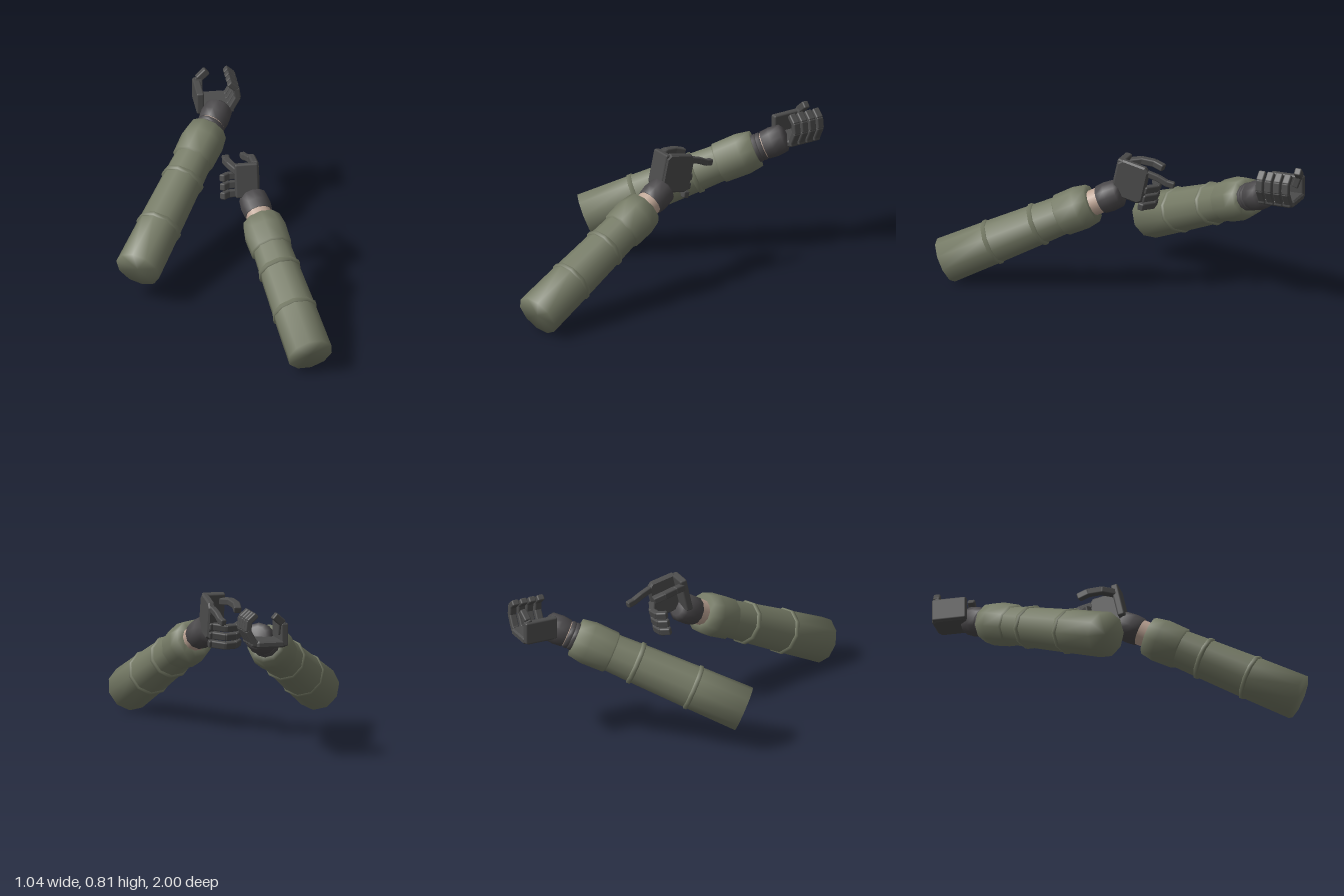
import * as THREE from 'three';
import { RoundedBoxGeometry } from 'three/addons/geometries/RoundedBoxGeometry.js';

const material = (name, color) => {
  const m = new THREE.MeshStandardMaterial({ color });
  m.name = name;
  return m;
};
const V = (x, y, z) => new THREE.Vector3(x, y, z);

export function createModel() {
  const olive = material('olive cloth', 0x767b66);
  const glove = material('dark glove', 0x4a484a);
  const armour = material('dark grey hand', 0x4b4b4b);
  const skin = material('skin', 0xbfa696);

  const add = (parent, name, geometry, mat) => {
    const mesh = new THREE.Mesh(geometry, mat);
    mesh.name = name;
    parent.add(mesh);
    return mesh;
  };
  const lathe = (points, sides = 10) =>
    new THREE.LatheGeometry(points.map(([r, y]) => new THREE.Vector2(r, y)), sides);

  // Chunky block running between two points, its width kept along z
  function link(parent, name, a, b, width, thick) {
    const dir = b.clone().sub(a);
    const mesh = add(parent, name,
      new RoundedBoxGeometry(thick, dir.length() + 0.012, width, 1, 0.008), armour);
    const y = dir.normalize();
    const x = y.clone().cross(V(0, 0, 1)).normalize();
    mesh.quaternion.setFromRotationMatrix(new THREE.Matrix4().makeBasis(x, y, x.clone().cross(y)));
    mesh.position.copy(a).add(b).multiplyScalar(0.5);
  }
  function chain(parent, name, points, width, thick) {
    for (let i = 0; i + 1 < points.length; i++)
      link(parent, name + 'Segment' + (i + 1), points[i], points[i + 1], width, thick);
  }

  // Sleeve, rings, cuff and wrist along the line from elbow to cuff end
  function forearm(name, elbow, wrist, rings, bareWrist) {
    const group = new THREE.Group();
    group.name = name;
    const dir = wrist.clone().sub(elbow);
    const L = dir.length();
    group.position.copy(elbow);
    group.quaternion.setFromUnitVectors(V(0, 1, 0), dir.normalize());
    add(group, 'sleeve', lathe([[0, 0], [0.125, 0.0], [0.119, rings[0] * L], [0.11, rings[1] * L], [0.103, 0.82 * L]]), olive);
    rings.forEach((f, i) => {
      const r = 0.116 - i * 0.007, y = f * L;
      add(group, 'sleeveRing' + (i + 1),
        lathe([[r - 0.004, y - 0.016], [r + 0.01, y - 0.01], [r + 0.01, y + 0.01], [r - 0.008, y + 0.016]]), olive);
    });
    add(group, 'cuff', lathe([[0.098, 0.775 * L], [0.115, 0.79 * L], [0.119, 0.92 * L], [0.106, L], [0.06, L]]), olive);
    add(group, 'wrist', lathe([[0.069, L - 0.02], [0.071, L + 0.07]], 12), skin);
    if (!bareWrist) {
      for (const y of [0, 0.025])
        add(group, 'wristBand', lathe([[0.07, L + y - 0.005], [0.077, L + y], [0.077, L + y + 0.018], [0.07, L + y + 0.022]], 12), glove);
    }
    add(group, 'gloveCuff', lathe([[0.066, L + 0.05], [0.077, L + 0.052], [0.082, L + 0.1],
      [0.076, L + 0.16], [0.05, L + 0.18], [0, L + 0.18]], 12), glove);
    return group;
  }

  // Hand: x along the fingers, y out of the palm, side * z towards the thumb
  function hand(name, side, fingers, indexOut, thumb) {
    const group = new THREE.Group();
    group.name = name;
    const P = (f, n, t) => V(f, n, side * t);
    const outline = [[-0.085, -0.065], [-0.085, 0.08], [-0.065, 0.1], [0.06, 0.1],
      [0.08, 0.08], [0.08, -0.08], [0.06, -0.095], [-0.05, -0.095]];
    const back = new THREE.ExtrudeGeometry(
      new THREE.Shape(outline.map(([f, t]) => new THREE.Vector2(f, -side * t))),
      { depth: 0.02, bevelThickness: 0.009, bevelSize: 0.009, bevelSegments: 1 });
    back.rotateX(-Math.PI / 2).translate(0, -0.015, 0);
    add(group, 'handBack', back, armour);
    add(group, 'palmHeel', new RoundedBoxGeometry(0.04, 0.125, 0.19, 1, 0.01), armour)
      .position.copy(P(-0.08, 0.045, 0.01));
    // Curled fingers
    fingers.forEach((t, i) => {
      add(group, 'knuckle' + (i + 1), new RoundedBoxGeometry(0.035, 0.036, 0.04, 1, 0.008), armour)
        .position.copy(P(0.085, 0.002, t));
      chain(group, 'finger' + (i + 1),
        [P(0.088, 0.008, t), P(0.122, 0.07, t), P(0.115, 0.122, t), P(0.078, 0.155, t)], 0.041, 0.034);
    });
    // Straight index finger
    if (indexOut)
      chain(group, 'indexFinger', [P(0.08, 0, 0.075), P(0.14, 0.01, 0.068), P(0.19, 0.015, 0.055), P(0.228, 0.022, 0.055)], 0.036, 0.032);
    chain(group, 'thumb', thumb.map((p) => P(...p)), 0.038, 0.042);
    return group;
  }

  const model = new THREE.Group();
  model.name = 'pairOfArms';

  // Far-reaching arm, palm turned up
  const rightArm = new THREE.Group();
  rightArm.name = 'rightArm';
  rightArm.add(forearm('rightForearm', V(-0.42, 0.222, 0.085), V(0.07, 0.6, -0.68), [0.3, 0.64], false));
  const openHand = hand('rightHand', -1, [0.08, 0.03, -0.02, -0.07], false,
    [[-0.07, 0.05, 0.06], [-0.068, 0.11, 0.083], [-0.025, 0.148, 0.09]]);
  openHand.position.set(0.13, 0.65, -0.89);
  rightArm.add(openHand);

  // Near arm, palm turned inwards with one finger out
  const leftArm = new THREE.Group();
  leftArm.name = 'leftArm';
  leftArm.add(forearm('leftForearm', V(0.39, 0.118, 0.943), V(0.24, 0.505, 0.155), [0.32, 0.63], true));
  const gripHand = hand('leftHand', 1, [-0.02, -0.07, -0.12], true,
    [[-0.07, 0.09, 0.06], [-0.01, 0.122, 0.08], [0.06, 0.135, 0.085], [0.115, 0.128, 0.08]]);
  const f = V(0, -0.22, -0.975).normalize(), n = V(-1, 0, 0);
  gripHand.quaternion.setFromRotationMatrix(new THREE.Matrix4().makeBasis(f, n, f.clone().cross(n)));
  gripHand.position.set(0.225, 0.655, -0.065);
  leftArm.add(gripHand);

  model.add(rightArm, leftArm);
  return model;
}
